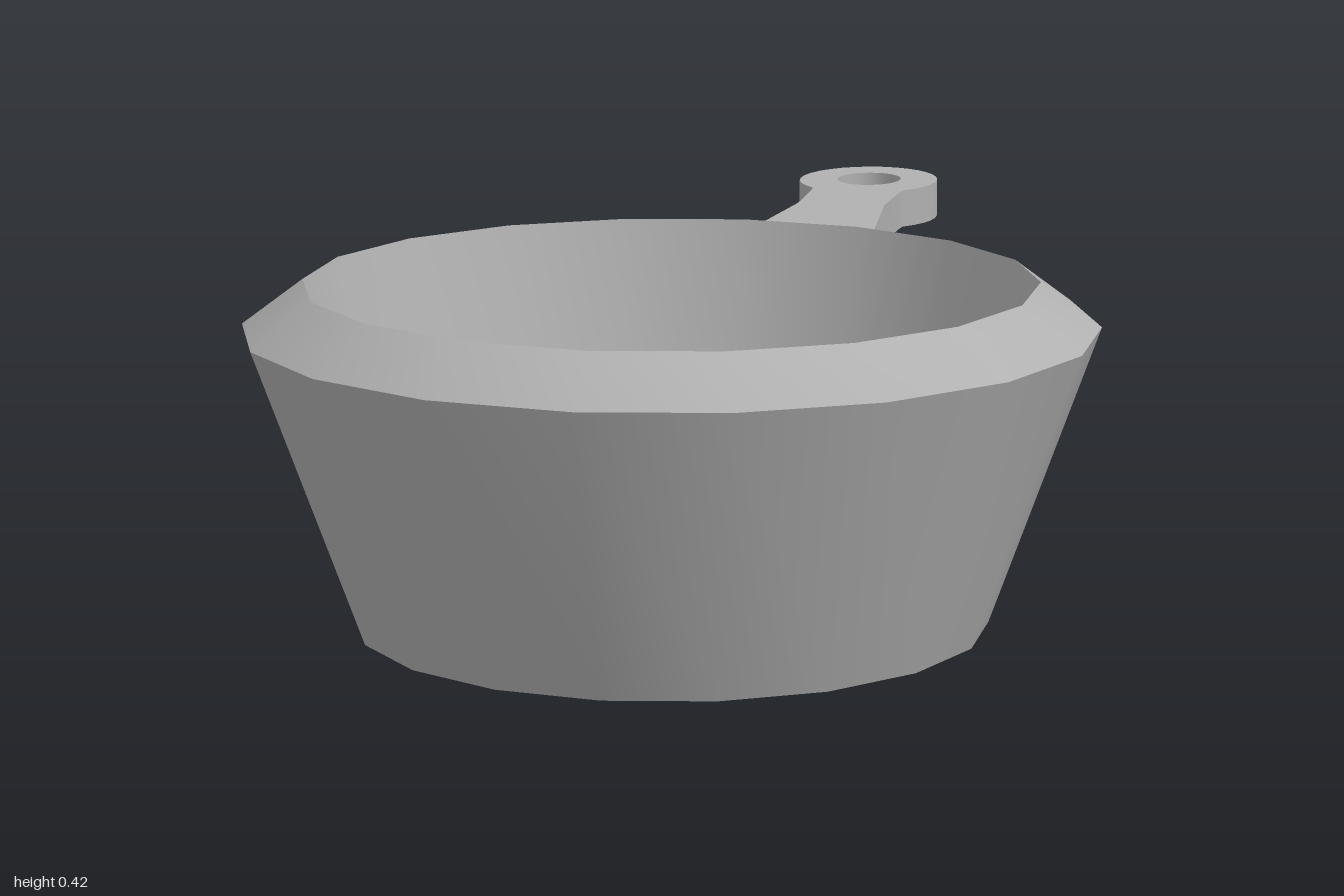
import * as THREE from 'three';
import { toCreasedNormals } from 'three/addons/utils/BufferGeometryUtils.js';

const V = (x, y) => new THREE.Vector2(x, y);

export function createModel() {
  const steel = new THREE.MeshStandardMaterial({ color: 0xb0b0b0 });
  steel.name = 'steel';
  const group = new THREE.Group();
  group.name = 'saucepan';

  const add = (name, geometry) => {
    const mesh = new THREE.Mesh(toCreasedNormals(geometry, 0.6), steel);
    mesh.name = name;
    group.add(mesh);
    return mesh;
  };

  // Bowl: flared wall, bevelled rim, inner wall and raised floor
  const bowl = add('bowl', new THREE.LatheGeometry([
    V(0, 0), V(0.385, 0), V(0.518, 0.365), V(0.444, 0.42), V(0.365, 0.09), V(0, 0.09),
  ], 18));
  bowl.position.z = 0.482;

  // Handle arm: tapering bar with a rounded eye (shape y runs towards the back)
  const arm = new THREE.Shape();
  arm.moveTo(-0.113, 0.17);
  arm.lineTo(0.113, 0.17);
  arm.lineTo(0.062, 0.66);
  arm.lineTo(0.064, 0.77);
  const start = -0.85;
  arm.absellipse(0, 0.882, 0.1, 0.118, start, Math.PI - start, false);
  arm.lineTo(-0.064, 0.77);
  arm.lineTo(-0.062, 0.66);
  arm.closePath();
  const eye = new THREE.Path();
  eye.absellipse(0, 0.887, 0.046, 0.056, 0, Math.PI * 2, true);
  arm.holes.push(eye);
  const armGeometry = new THREE.ExtrudeGeometry(arm, { depth: 0.053, bevelEnabled: false, curveSegments: 12 });
  armGeometry.rotateX(-Math.PI / 2);
  armGeometry.translate(0, 0.272, 0);
  add('handleArm', armGeometry);

  // Handle root: side profile that deepens towards the bowl wall
  const root = new THREE.Shape([V(-0.17, 0.272), V(0.038, 0.225), V(0.004, 0.325), V(-0.17, 0.325)]);
  const rootGeometry = new THREE.ExtrudeGeometry(root, { depth: 0.226, bevelEnabled: false });
  rootGeometry.rotateY(-Math.PI / 2);
  rootGeometry.translate(0.113, 0, 0);
  add('handleRoot', rootGeometry);

  // Rivet under the handle root
  const rivet = add('rivet', new THREE.CylinderGeometry(0.047, 0.047, 0.09, 12));
  rivet.position.set(0, 0.236, -0.025);
  rivet.rotation.x = 0.38;

  return group;
}
